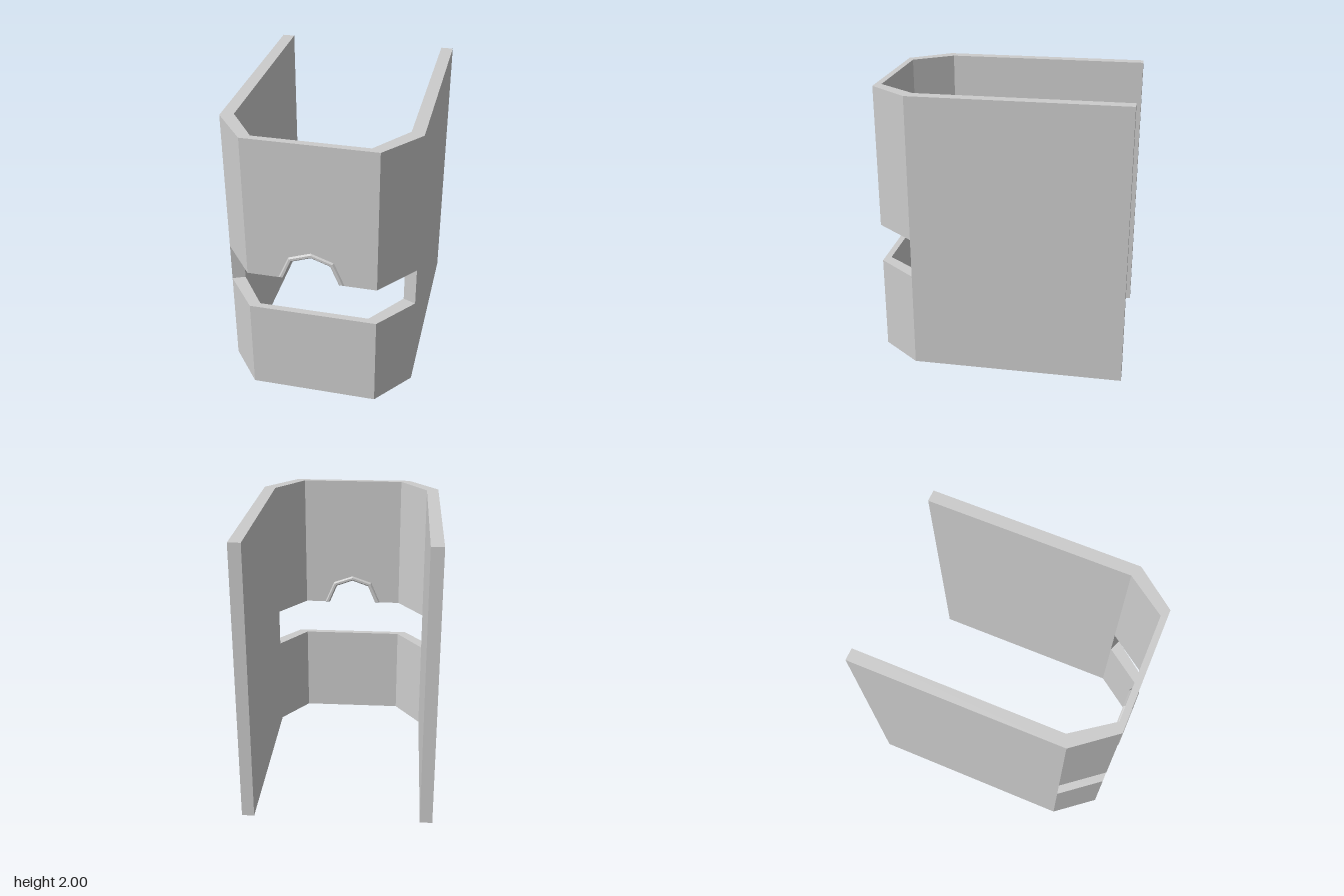
import * as THREE from 'three';

const TOP = 2, SLOT_LOW = 0.692, SLOT_HIGH = 0.975;
const FRONT = 0.887, INNER = 0.842;

function toShape(points) {
  return new THREE.Shape(points.map(([x, y]) => new THREE.Vector2(x, y)));
}

// Raises a plan outline of [x, z] corners from y0 to y1.
function raisePlan(points, y0, y1) {
  const shape = toShape(points.map(([x, z]) => [x, -z]));
  const geometry = new THREE.ExtrudeGeometry(shape, { depth: y1 - y0, bevelEnabled: false });
  return geometry.rotateX(-Math.PI / 2).translate(0, y0, 0);
}

// Extrudes an outline of [x, y] corners towards the front.
function plate(points, z0, z1) {
  const geometry = new THREE.ExtrudeGeometry(toShape(points), { depth: z1 - z0, bevelEnabled: false });
  return geometry.translate(0, 0, z0);
}

export function createModel() {
  const model = new THREE.Group();
  model.name = 'foldedShell';

  const grey = new THREE.MeshStandardMaterial({ color: 0xcccccc, flatShading: true });
  grey.name = 'light grey';

  const add = (name, geometry) => {
    const mesh = new THREE.Mesh(geometry, grey);
    mesh.name = name;
    model.add(mesh);
  };

  // Side walls and the slanted corners above and below the slot
  for (const [side, s] of [['left', 1], ['right', -1]]) {
    const wall = [[0.583, -0.897], [0.67, -0.897], [0.67, 0.605], [0.583, 0.568]];
    const corner = [[0.583, 0.568], [0.67, 0.605], [0.447, FRONT], [0.385, FRONT], [0.385, INNER]];
    const mirror = (points) => points.map(([x, z]) => [s * x, z]);
    add(side + 'Wall', raisePlan(mirror(wall), 0, TOP));
    add(side + 'LowerCorner', raisePlan(mirror(corner), 0, SLOT_LOW));
    add(side + 'UpperCorner', raisePlan(mirror(corner), SLOT_HIGH, TOP));
  }

  // Front panels, the upper one with an arched notch
  const inner = [[-0.19, SLOT_HIGH], [-0.13, 1.118], [0, 1.165], [0.13, 1.118], [0.19, SLOT_HIGH]];
  const outer = [[-0.228, SLOT_HIGH], [-0.155, 1.147], [0, 1.202], [0.155, 1.147], [0.228, SLOT_HIGH]];
  add('lowerFrontPanel', plate(
    [[-0.385, 0], [0.385, 0], [0.385, SLOT_LOW], [-0.385, SLOT_LOW]], INNER, FRONT));
  add('upperFrontPanel', plate(
    [[-0.385, SLOT_HIGH], ...inner, [0.385, SLOT_HIGH], [0.385, TOP], [-0.385, TOP]], INNER, FRONT));

  // Bevelled rim around the notch, standing slightly proud on both faces
  const bevel = 0.01;
  const rim = new THREE.ExtrudeGeometry(toShape([...inner, ...outer.slice().reverse()]), {
    depth: FRONT - INNER + 0.006, bevelEnabled: true, bevelSegments: 1,
    bevelThickness: bevel, bevelSize: bevel, bevelOffset: -bevel,
  });
  add('notchRim', rim.translate(0, 0, INNER - 0.006));

  return model;
}
